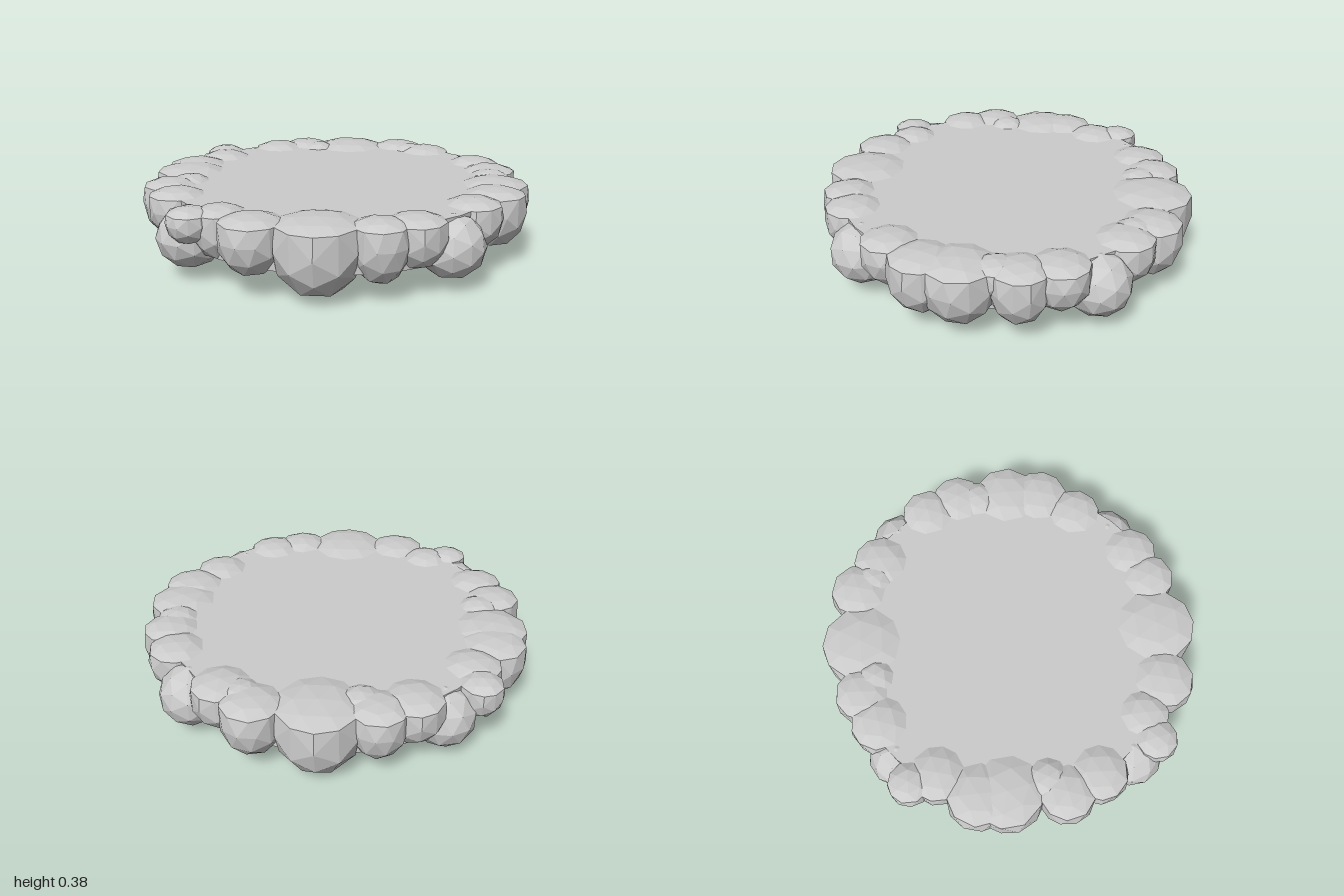
import * as THREE from 'three';

const TOP = 0.355;   // height of the slab and the pressed-flat rims
const material = new THREE.MeshStandardMaterial({ color: 0xcccccc, flatShading: true });

// Faceted boulder: round underneath, upper part pressed into a shallow lid
function flatBoulder(x, z, r, bottom, turn) {
  const geo = new THREE.IcosahedronGeometry(1, 1).rotateY(turn);
  const p = geo.attributes.position;
  const ry = (TOP - bottom) / 1.45;
  const cy = bottom + ry;
  for (let i = 0; i < p.count; i++) {
    const ux = p.getX(i), uy = p.getY(i), uz = p.getZ(i);
    let h = r, y = cy + ry * uy;
    if (uy > 0.28) {
      y = TOP + 0.03 * (uy - 0.35) / 0.65;
      if (uy < 0.6) {
        h = r * 0.93 / Math.hypot(ux, uz);
        y = TOP;
      }
    }
    p.setXYZ(i, x + ux * h, y, z + uz * h);
  }
  geo.computeVertexNormals();
  return new THREE.Mesh(geo, material);
}

// Whole boulder tucked under the edge of the slab
function roundBoulder(x, z, r, turn) {
  const geo = new THREE.IcosahedronGeometry(1, 1).rotateY(turn);
  geo.scale(r, 0.155, r).translate(x, 0.205, z);
  return new THREE.Mesh(geo, material);
}

export function createModel() {
  const group = new THREE.Group();

  // Flat centre slab
  const slab = new THREE.Mesh(new THREE.CylinderGeometry(0.86, 0.86, 0.205, 32), material);
  slab.position.y = TOP - 0.1025;
  slab.name = 'centreSlab';
  group.add(slab);

  // Rim boulders: x, z, radius, bottom height
  const back = [
    [0.02, -0.765, 0.215, 0], [0.32, -0.77, 0.155, 0.08], [0.48, -0.65, 0.15, 0.13],
    [0.38, -0.69, 0.1, 0.2], [-0.17, -0.7, 0.1, 0.2], [-0.41, -0.69, 0.15, 0.13],
    [-0.25, -0.77, 0.145, 0.09],
  ];
  const right = [
    [-0.72, -0.56, 0.11, 0.18], [-0.69, -0.42, 0.145, 0.13], [-0.81, -0.23, 0.165, 0.07],
    [-0.81, -0.09, 0.19, 0.06], [-0.76, 0.115, 0.105, 0.2], [-0.84, 0.2, 0.145, 0.08],
    [-0.76, 0.37, 0.145, 0.13],
  ];
  const front = [
    [-0.025, 0.76, 0.213, 0.01], [-0.32, 0.755, 0.16, 0.1], [-0.49, 0.63, 0.13, 0.12],
    [-0.62, 0.67, 0.11, 0.21], [0.25, 0.765, 0.14, 0.08], [0.41, 0.69, 0.145, 0.13],
  ];
  const left = [
    [0.68, 0.42, 0.145, 0.13], [0.8, 0.24, 0.16, 0.08], [0.82, 0.06, 0.18, 0.06],
    [0.81, -0.1, 0.11, 0.19], [0.82, -0.21, 0.145, 0.08], [0.75, -0.38, 0.145, 0.13],
  ];
  for (const [side, rocks] of Object.entries({ back, right, front, left })) {
    rocks.forEach(([x, z, r, bottom], i) => {
      const rock = flatBoulder(x, z, r, bottom, i * 1.3);
      rock.name = side + 'Boulder' + (i + 1);
      group.add(rock);
    });
  }

  // Lower boulders at the four diagonals
  const corners = [[0.57, 0.59, 0.165], [-0.65, 0.55, 0.165], [-0.55, -0.61, 0.16], [0.65, -0.545, 0.16]];
  corners.forEach(([x, z, r], i) => {
    const rock = roundBoulder(x, z, r, i * 0.9);
    rock.name = 'cornerBoulder' + (i + 1);
    group.add(rock);
  });

  return group;
}
